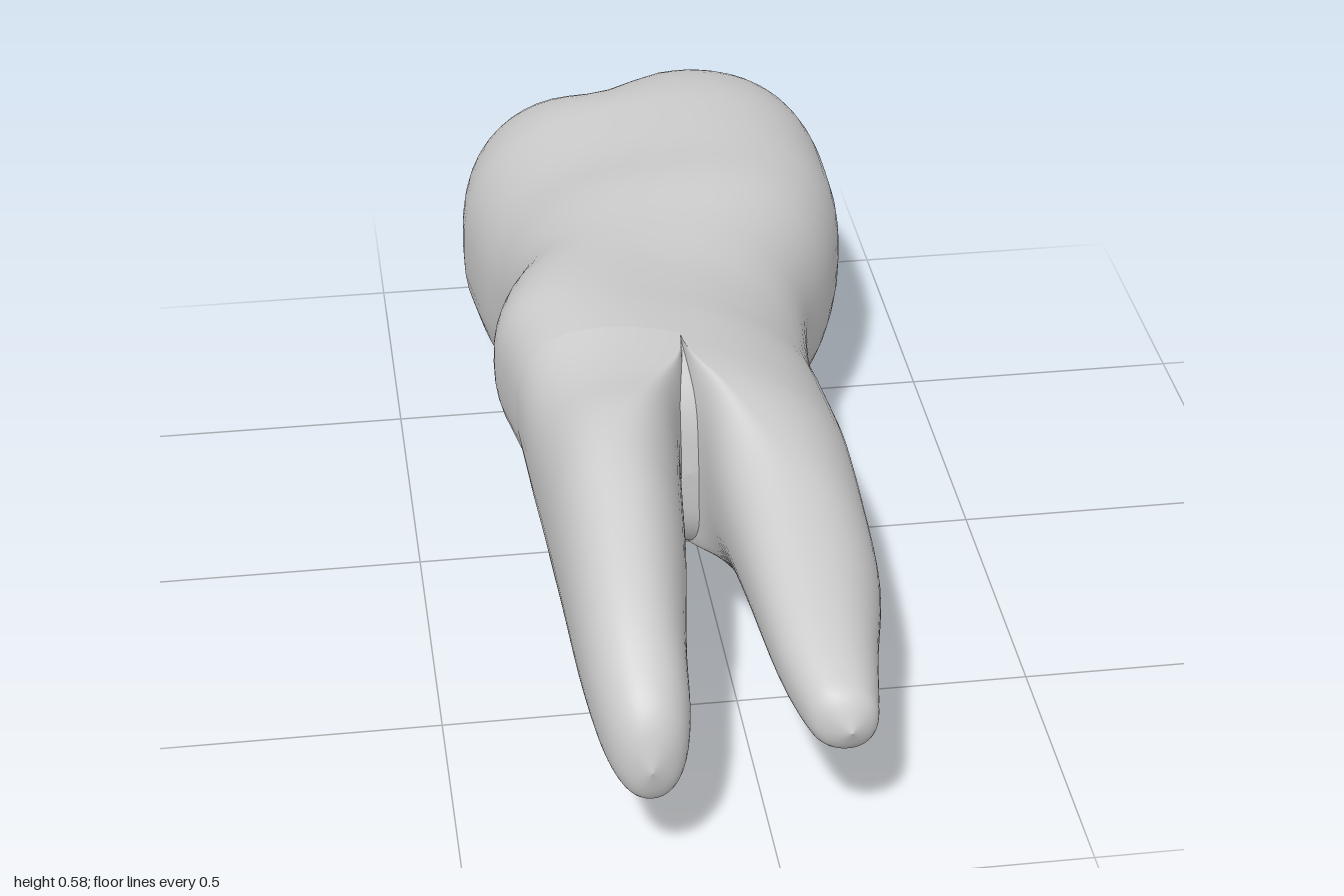
import * as THREE from 'three';

const SIDES = 56;
const MIDLINE = -0.055; // x of the plane where the roots part
const { smoothstep, lerp } = THREE.MathUtils;

// Rounded-square ring; tilt slants it about the midline, xc is its widest-height column
function ring([z, x0, x1, y0, y1, tilt], xc = (x0 + x1) / 2, n = 2.5) {
  const bend = v => Math.sign(v) * Math.abs(v) ** (2 / n);
  return Array.from({ length: SIDES }, (_, j) => {
    const angle = j / SIDES * Math.PI * 2;
    const c = Math.cos(angle);
    const x = xc + bend(c) * (c > 0 ? x1 - xc : xc - x0);
    const y = (y0 + y1) / 2 + (y1 - y0) / 2 * bend(Math.sin(angle));
    return [x, y + tilt * (x - MIDLINE), z];
  });
}

// Smoothly subdivides rows of section values
function smoothRows(rows, steps = 5) {
  const out = [];
  const at = i => rows[Math.min(Math.max(i, 0), rows.length - 1)];
  for (let i = 0; i < rows.length - 1; i++) {
    for (let k = 0; k < steps; k++) {
      const t = k / steps;
      out.push(rows[i].map((b, j) => {
        const a = at(i - 1)[j], c = at(i + 1)[j], d = at(i + 2)[j];
        return b + 0.5 * t * (c - a + t * (2 * a - 5 * b + 4 * c - d + t * (3 * (b - c) + d - a)));
      }));
    }
  }
  out.push(rows[rows.length - 1]);
  return out;
}

// Skins closed rings ordered from back to front
function skin(rings) {
  const index = [];
  for (let i = 0; i < rings.length - 1; i++) {
    for (let j = 0; j < SIDES; j++) {
      const k = (j + 1) % SIDES;
      const a = i * SIDES + j, b = i * SIDES + k, c = a + SIDES, d = b + SIDES;
      index.push(a, b, d, a, d, c);
    }
  }
  const geometry = new THREE.BufferGeometry();
  geometry.setAttribute('position', new THREE.Float32BufferAttribute(rings.flat(2), 3));
  geometry.setIndex(index);
  geometry.computeVertexNormals();
  return geometry;
}

// Biting surface: two ridges split by a groove with a central pit
function bitingRings(base) {
  const cx = (base[1] + base[2]) / 2, cy = (base[3] + base[4]) / 2;
  const rim = ring(base);
  const rings = [];
  for (let i = 0; i < 20; i++) {
    const s = Math.sin((i + 0.02) / 20 * Math.PI / 2);
    rings.push(rim.map(([rx, ry]) => {
      const x = cx + (rx - cx) * s, y = cy + (ry - cy) * s;
      const dy = (y - 0.37) ** 2;
      const ridge = 0.318 + 0.026 * Math.tanh(x / 0.12) - 1.9 * dy / (1 + 4 * dy);
      const groove = 0.055 * Math.exp(-(((x + 0.07) / 0.08) ** 2));
      const pit = 0.11 * Math.exp(-(((x + 0.03) / 0.15) ** 2) - ((y - 0.31) / 0.13) ** 2);
      return [x, y, base[0] - (ridge - groove - pit) * Math.sqrt(1 - s ** 5)];
    }));
  }
  return rings;
}

// Root: starts as half of the neck section and eases into an oval
function root(rows, side) {
  return skin(smoothRows(rows).map(row => {
    const inner = side < 0 ? row[2] : row[1];
    const t = smoothstep(row[0], 0.2, 0.55);
    return ring(row, lerp(inner, (row[1] + row[2]) / 2, t), lerp(2.5, 2.2, t));
  }));
}

export function createModel() {
  const model = new THREE.Group();
  const enamel = new THREE.MeshStandardMaterial({ color: 0xcccccc });
  const add = (name, geometry) => {
    const mesh = new THREE.Mesh(geometry, enamel);
    mesh.name = name;
    model.add(mesh);
  };

  // All rows: z, xMin, xMax, yMin, yMax, tilt
  const body = [
    [-0.68, -0.355, 0.355, 0.01, 0.56, 0.06],
    [-0.5, -0.337, 0.345, 0.028, 0.562, 0.06],
    [-0.35, -0.313, 0.305, 0.06, 0.575, 0],
    [-0.2, -0.303, 0.237, 0.117, 0.568, -0.12],
    [-0.08, -0.335, 0.217, 0.147, 0.56, -0.22],
    [0.02, -0.357, 0.214, 0.142, 0.56, -0.25],
    [0.11, -0.348, 0.22, 0.149, 0.564, -0.25],
    [0.2, -0.335, 0.225, 0.16, 0.565, -0.25],
  ];
  add('crownAndNeck', skin([...bitingRings(body[0]), ...smoothRows(body).map(r => ring(r))]));

  // Saddle closing the neck between the roots
  const saddle = [
    [0.2, -0.335, 0.225, 0.165, 0.56, -0.25],
    [0.25, -0.25, 0.14, 0.18, 0.545, -0.25],
    [0.29, -0.2, 0.09, 0.215, 0.51, -0.25],
    [0.315, -0.15, 0.04, 0.27, 0.45, -0.25],
    [0.325, MIDLINE, MIDLINE, 0.36, 0.36, -0.25],
  ];
  add('rootSaddle', skin(smoothRows(saddle).map(r => ring(r))));

  add('rightRoot', root([
    [0.2, -0.335, MIDLINE, 0.16, 0.565, -0.25],
    [0.27, -0.33, -0.056, 0.152, 0.557, -0.23],
    [0.34, -0.325, -0.073, 0.148, 0.552, -0.2],
    [0.45, -0.318, -0.085, 0.165, 0.557, -0.12],
    [0.6, -0.31, -0.1, 0.187, 0.532, -0.05],
    [0.8, -0.298, -0.127, 0.197, 0.46, 0],
    [0.92, -0.278, -0.138, 0.18, 0.385, 0],
    [0.975, -0.25, -0.16, 0.185, 0.33, 0],
    [1.0, -0.208, -0.208, 0.25, 0.25, 0],
  ], -1));
  add('leftRoot', root([
    [0.2, MIDLINE, 0.225, 0.16, 0.565, -0.25],
    [0.27, -0.054, 0.226, 0.185, 0.565, -0.25],
    [0.34, -0.037, 0.225, 0.203, 0.555, -0.25],
    [0.45, -0.025, 0.224, 0.217, 0.522, -0.25],
    [0.62, -0.008, 0.217, 0.235, 0.472, -0.25],
    [0.8, 0.012, 0.18, 0.238, 0.403, -0.15],
    [0.9, 0.035, 0.163, 0.233, 0.362, -0.1],
    [0.945, 0.058, 0.15, 0.235, 0.33, -0.05],
    [0.97, 0.108, 0.108, 0.272, 0.272, 0],
  ], 1));
  return model;
}
